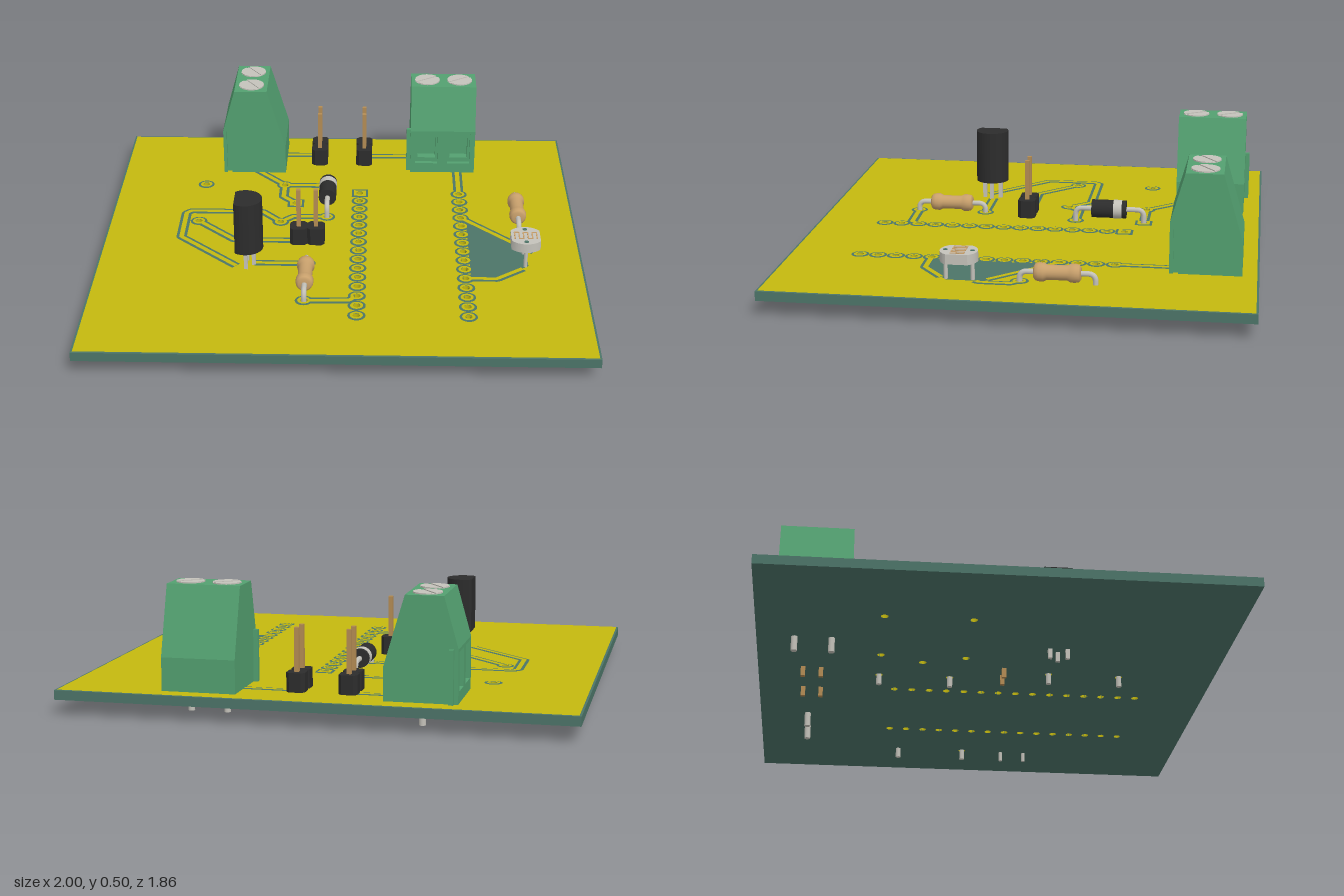
import * as THREE from 'three';
import { mergeGeometries } from 'three/addons/utils/BufferGeometryUtils.js';

const mat = (name, color, side = THREE.FrontSide) => {
  const m = new THREE.MeshStandardMaterial({ color, side });
  m.name = name;
  return m;
};
const M = {
  board: mat('board teal', 0x4c7468), copper: mat('copper gold', 0xc4b80e, THREE.DoubleSide),
  green: mat('terminal green', 0x53a070), silver: mat('silver', 0xc4c2ba),
  black: mat('black plastic', 0x2c2c2c), tan: mat('resistor tan', 0xc8a06c), pin: mat('pin brass', 0xb48c54),
};
const TOP = 0.1, HOLE = 0.015;

function add(parent, name, geometry, material, x = 0, y = 0, z = 0) {
  const mesh = new THREE.Mesh(geometry, material);
  mesh.name = name;
  mesh.position.set(x, y, z);
  parent.add(mesh);
  return mesh;
}
function group(parent, name, x, z, turn = 0) {
  const g = new THREE.Group();
  g.name = name;
  g.position.set(x, 0, z);
  g.rotation.y = turn;
  parent.add(g);
  return g;
}
const poly = (pts) => new THREE.Shape(pts.map(([x, y]) => new THREE.Vector2(x, y)));
const rect = (x0, y0, x1, y1) => poly([[x0, y0], [x1, y0], [x1, y1], [x0, y1]]);
const circle = (x, y, r) => new THREE.Shape().absarc(x, y, r, 0, Math.PI * 2);
const extrude = (shape, depth) => new THREE.ExtrudeGeometry(shape, { depth, bevelEnabled: false, curveSegments: 12 });
// Shape y becomes -z, so the shape lies flat
const flat = (shape) => new THREE.ShapeGeometry(shape, 10).rotateX(-Math.PI / 2);
const slab = (shape, h) => extrude(shape, h).rotateX(-Math.PI / 2);

// Pads as [x, z, square]
const pads = [
  [-0.615, -0.44], [-0.262, -0.44], [-0.205, -0.27, true], [-0.065, -0.44, true], [-0.065, -0.15],
  [-0.615, -0.1], [-0.262, -0.1], [-0.135, 0.25], [-0.135, 0.54], [0.755, -0.03],
];
for (let i = 0; i < 15; i++) {
  const z = -0.37 + i * 0.0726;
  pads.push([0.075, z, i === 0], [0.513, z]);
}
// Trace paths in x, z
const traces = [
  [[-0.41, -0.745], [-0.11, -0.745]], [[0.09, -0.74], [0.37, -0.74]],
  [[-0.405, -0.595], [-0.262, -0.44]], [[-0.262, -0.44], [-0.065, -0.44]],
  [[-0.262, -0.44], [-0.262, -0.33], [-0.205, -0.27]],
  [[-0.065, -0.15], [-0.21, -0.15], [-0.262, -0.1]],
  [[-0.262, -0.1], [-0.345, -0.19], [-0.655, -0.19], [-0.675, -0.17], [-0.675, 0.04], [-0.41, 0.29]],
  [[-0.615, -0.1], [-0.45, 0.06], [-0.15, 0.06]], [[-0.37, 0.25], [-0.135, 0.25]],
  [[-0.135, 0.54], [0.045, 0.535], [0.075, 0.501]], [[0.513, -0.7], [0.513, -0.37]],
  [[0.513, -0.152], [0.77, 0.11]], [[0.755, -0.03], [0.79, 0], [0.79, 0.12], [0.765, 0.15]],
  [[0.513, 0.356], [0.64, 0.356], [0.765, 0.26]],
];

// Flat ribbon along a path, stopping short of the pad holes
function ribbon(path, width) {
  const p = path.map(([x, z]) => new THREE.Vector2(x, z)), n = p.length - 1, out = [];
  const a = p[0].clone().sub(p[1]).setLength(0.02), b = p[n].clone().sub(p[n - 1]).setLength(0.02);
  p[0].sub(a);
  p[n].sub(b);
  for (let i = 0; i < n; i++) {
    const d = p[i + 1].clone().sub(p[i]), c = p[i].clone().lerp(p[i + 1], 0.5);
    out.push(new THREE.PlaneGeometry(d.length(), width).rotateX(-Math.PI / 2)
      .rotateY(-Math.atan2(d.y, d.x)).translate(c.x, 0, c.y));
    if (i) out.push(new THREE.CircleGeometry(width / 2, 10).rotateX(-Math.PI / 2).translate(p[i].x, 0, p[i].y));
  }
  return out;
}
function padFace([x, z, square], r) {
  const s = square ? rect(x - r, -z - r, x + r, -z + r) : circle(x, -z, r);
  s.holes.push(circle(x, -z, HOLE));
  return flat(s);
}
const layer = (padR, width) => mergeGeometries(
  [...pads.map((p) => padFace(p, padR)), ...traces.flatMap((t) => ribbon(t, width))]);

function buildBoard(root) {
  const g = group(root, 'circuitBoard', 0, 0);
  const drilled = (inset) => {
    const s = rect(-1 + inset, -0.93 + inset, 1 - inset, 0.93 - inset);
    pads.forEach(([x, z]) => s.holes.push(circle(x, -z, HOLE)));
    return s;
  };
  add(g, 'boardBase', slab(drilled(0), 0.037), M.board, 0, 0.06);
  add(g, 'copperPlane', flat(drilled(0.008)), M.copper, 0, 0.0985);
  add(g, 'isolationGaps', layer(0.036, 0.044), M.board, 0, TOP);
  // Cleared area beside the light sensor
  add(g, 'clearedArea', flat(poly([[0.535, 0.14], [0.535, -0.356], [0.64, -0.356], [0.775, -0.25], [0.775, -0.11]])),
    M.board, 0, TOP - 0.0003);
  add(g, 'copperTraces', layer(0.026, 0.02), M.copper, 0, TOP + 0.0015);
  add(g, 'holeBarrels', mergeGeometries(pads.map(([x, z]) =>
    new THREE.CylinderGeometry(HOLE, HOLE, 0.04, 10, 1, true).translate(x, 0.08, z))), M.copper);
}

// Two-way screw terminal; the wire openings face local +z
function buildTerminal(root, x, z, turn) {
  const g = group(root, 'screwTerminal', x, z, turn);
  const crown = [[0.14, 0.305], [0.085, 0.5], [-0.06, 0.5], [-0.14, 0.23], [-0.14, 0.1]];
  const across = (pts, w) => extrude(poly(pts), w).rotateY(-Math.PI / 2);
  add(g, 'terminalBody', across([[0.08, 0.1], [0.08, 0.305], ...crown], 0.275), M.green, 0.13);
  add(g, 'groovedSide', across([[0.105, 0.1], [0.105, 0.305], [0.125, 0.305], [0.125, 0.1], [0.14, 0.1], ...crown], 0.015),
    M.green, 0.145);
  add(g, 'sideRib', new THREE.BoxGeometry(0.018, 0.205, 0.018), M.green, -0.154, 0.2025, 0.115);
  // Stepped wire openings
  for (const [half, y0, y1, depth, pz] of [[0.05, 0.145, 0.292, 0.02, 0.12], [0.04, 0.165, 0.265, 0.04, 0.08]]) {
    const s = rect(-0.145, 0.1, 0.13, 0.305);
    for (const cx of [-0.0725, 0.0725]) s.holes.push(rect(cx - half, y0, cx + half, y1));
    add(g, 'frontPanel', extrude(s, depth), M.green, 0, 0, pz);
  }
  // Slotted screws and solder pins
  for (const sx of [-0.0725, 0.0725]) {
    add(g, 'screwBase', new THREE.CylinderGeometry(0.056, 0.056, 0.01, 24), M.silver, sx, 0.4965, 0.012);
    for (const a of [0.6, 0.6 + Math.PI]) {
      const half = new THREE.Shape().absarc(0, 0, 0.055, 0.14, Math.PI - 0.14);
      add(g, 'screwHead', slab(half, 0.006), M.silver, sx, 0.499, 0.012).rotation.y = a;
    }
    add(g, 'solderPin', new THREE.CylinderGeometry(0.013, 0.013, 0.1, 10), M.silver, sx, 0.05, -0.005);
  }
}

// Two-pin header laid out along local z
function buildHeader(root, x, z, turn = 0) {
  const g = group(root, 'pinHeader', x, z, turn);
  const h = 0.0363, c = 0.023;
  const block = poly([[h, -c], [h, c], [c, h], [-c, h], [-h, c], [-h, -c], [-c, -h], [c, -h]]);
  for (const pz of [-h, h]) {
    add(g, 'headerBlock', slab(block, 0.075), M.black, 0, TOP, pz);
    add(g, 'headerPin', new THREE.BoxGeometry(0.018, 0.325, 0.018), M.pin, 0, 0.1825, pz);
  }
}

// Bent wire running through an axial part from hole to hole
function leadWire(g, z0, z1, y, bottom) {
  const v = (yy, zz) => new THREE.Vector3(0, yy, zz), b = 0.03, path = new THREE.CurvePath();
  path.add(new THREE.LineCurve3(v(bottom, z0), v(y - b, z0)));
  path.add(new THREE.QuadraticBezierCurve3(v(y - b, z0), v(y, z0), v(y, z0 + b)));
  path.add(new THREE.LineCurve3(v(y, z0 + b), v(y, z1 - b)));
  path.add(new THREE.QuadraticBezierCurve3(v(y, z1 - b), v(y, z1), v(y - b, z1)));
  path.add(new THREE.LineCurve3(v(y - b, z1), v(bottom, z1)));
  add(g, 'leadWire', new THREE.TubeGeometry(path, 60, 0.011, 8), M.silver);
  for (const z of [z0, z1])
    add(g, 'leadTip', new THREE.CylinderGeometry(0.011, 0.011, 0.004, 8), M.silver, 0, bottom, z);
}

function buildResistor(root, x, z) {
  const g = group(root, 'resistor', x, z);
  const half = [[0, 0.09], [0.024, 0.09], [0.033, 0.083], [0.036, 0.07], [0.036, 0.052], [0.029, 0.038]];
  const profile = [...half.map(([r, y]) => [r, -y]), ...half.reverse()].map(([r, y]) => new THREE.Vector2(r, y));
  add(g, 'resistorBody', new THREE.LatheGeometry(profile, 20).rotateX(Math.PI / 2), M.tan, 0, 0.14);
  leadWire(g, -0.145, 0.145, 0.14, 0.02);
}

function buildDiode(root) {
  const g = group(root, 'diode', -0.065, -0.293);
  const tube = (r, l) => new THREE.CylinderGeometry(r, r, l, 24).rotateX(Math.PI / 2);
  add(g, 'diodeBody', tube(0.038, 0.146), M.black, 0, 0.157);
  add(g, 'diodeBand', tube(0.0395, 0.036), M.silver, 0, 0.157, -0.037);
  leadWire(g, -0.147, 0.143, 0.157, 0.02);
}

function buildTransistor(root) {
  const g = group(root, 'transistor', -0.382, 0.258);
  const a = Math.PI - 0.92;
  add(g, 'transistorBody', slab(new THREE.Shape().absarc(0, 0, 0.07, -a, a), 0.225), M.black, 0, 0.18);
  for (const z of [-0.035, 0, 0.035])
    add(g, 'transistorLeg', new THREE.BoxGeometry(0.016, 0.17, 0.016), M.silver, z === 0 ? 0.03 : 0, 0.105, z);
}

function buildLightSensor(root) {
  const g = group(root, 'lightSensor', 0.762, 0.2);
  const a = 0.62, disc = new THREE.Shape().absarc(0, 0, 0.073, a, Math.PI - a);
  disc.absarc(0, 0, 0.073, Math.PI + a, Math.PI * 2 - a);
  add(g, 'sensorDisc', slab(disc, 0.04), M.silver, 0, 0.175);
  // Zigzag sensing track
  const track = [];
  for (let i = 0; i < 6; i++) {
    const x = -0.045 + i * 0.018, s = i % 2 ? 1 : -1;
    track.push(new THREE.BoxGeometry(0.005, 0.003, 0.054).translate(x, 0, 0));
    if (i < 5) track.push(new THREE.BoxGeometry(0.023, 0.003, 0.005).translate(x + 0.009, 0, s * 0.025));
  }
  add(g, 'sensorTrack', mergeGeometries(track), M.tan, 0, 0.216);
  for (const z of [-0.052, 0.052]) {
    add(g, 'sensorContact', new THREE.CylinderGeometry(0.009, 0.009, 0.003, 10), M.board, 0, 0.2155, z);
    add(g, 'sensorLeg', new THREE.CylinderGeometry(0.008, 0.008, 0.16, 8), M.silver, 0, 0.1, z);
  }
}

export function createModel() {
  const root = new THREE.Group();
  root.name = 'circuitBoardAssembly';
  buildBoard(root);
  buildTerminal(root, -0.405, -0.71, -Math.PI / 2);
  buildTerminal(root, 0.445, -0.725, 0);
  buildHeader(root, -0.113, -0.713);
  buildHeader(root, 0.09, -0.713);
  buildHeader(root, -0.14, 0.063, Math.PI / 2);
  buildResistor(root, -0.135, 0.395);
  buildResistor(root, 0.755, -0.175);
  buildDiode(root);
  buildTransistor(root);
  buildLightSensor(root);
  return root;
}
